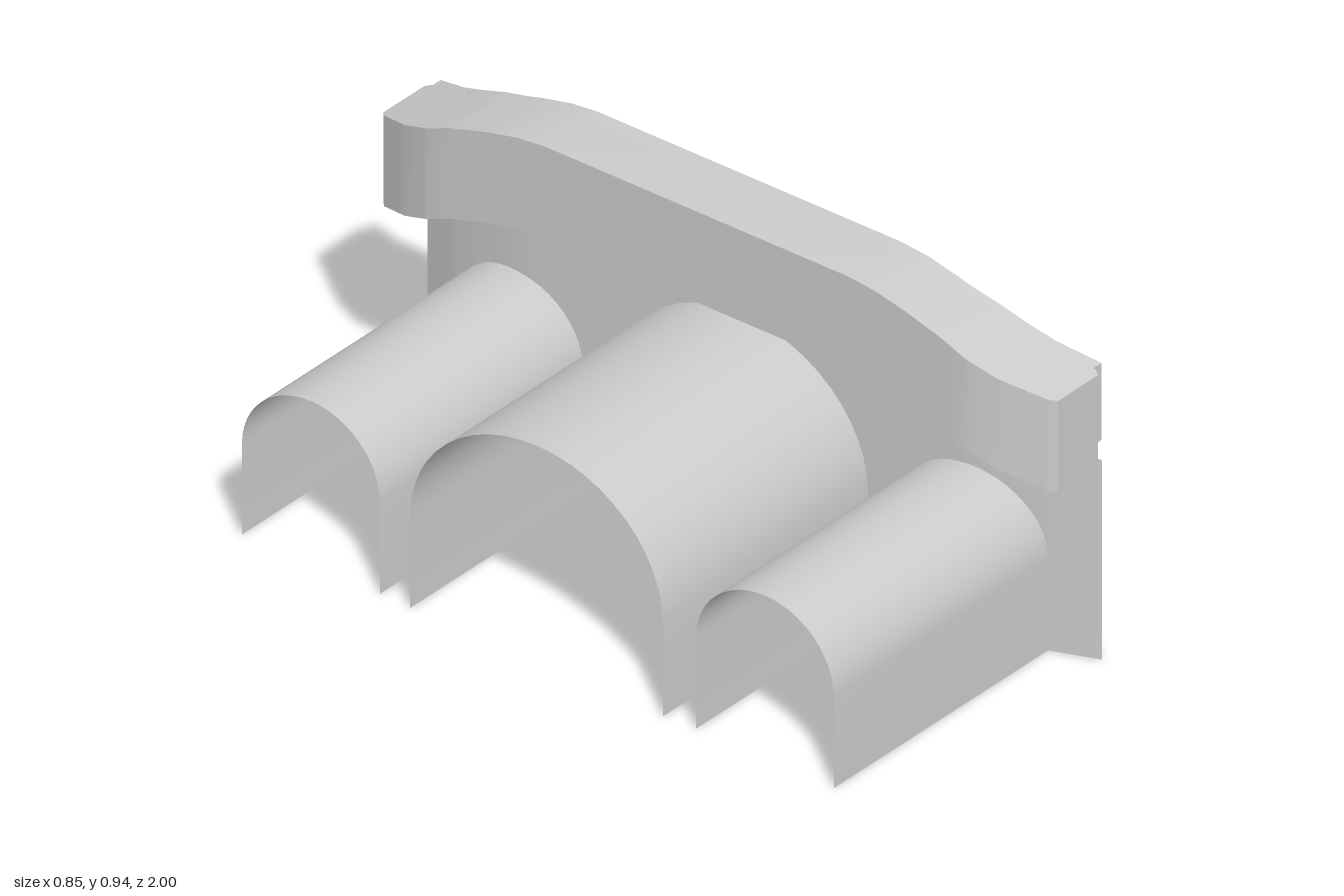
import * as THREE from 'three';
import { toCreasedNormals } from 'three/addons/utils/BufferGeometryUtils.js';

const solid = new THREE.MeshStandardMaterial({ color: 0xcccccc });
const shell = new THREE.MeshStandardMaterial({ color: 0xcccccc, side: THREE.DoubleSide });

// Piecewise linear curve, symmetric in z: [distance from mid-span, value]
const curve = (pts) => (z) => {
  const d = Math.abs(z);
  for (let i = 1; i < pts.length; i++) {
    const [d0, v0] = pts[i - 1], [d1, v1] = pts[i];
    if (d <= d1) return v0 + (v1 - v0) * (d - d0) / (d1 - d0);
  }
  return pts[pts.length - 1][1];
};
const topY = curve([[0, 0.94], [0.45, 0.94], [0.53, 0.932], [0.62, 0.912], [0.73, 0.88], [0.88, 0.82], [1, 0.775]]);
const innerX = curve([[0, 0.15], [0.8, 0.15], [0.88, 0.17], [0.985, 0.222], [1, 0.24]]);
const wallX = curve([[0, 0.315], [0.65, 0.315], [0.72, 0.322], [0.81, 0.337], [0.88, 0.354], [1, 0.4]]);

const RIM = 0.03;        // overhang of the rim beyond the wall
const DEPTH = 0.245;     // height of the parapet
const TOOTH = 0.237, NOTCH = 0.207;
const rimEnd = 0.98;
const keys = [0, 0.45, 0.53, 0.62, 0.65, 0.72, 0.73, 0.8, 0.81, 0.88];
const steps = [0.05, 0.18, 0.315, 0.46, 0.57, 0.65, 0.72, 0.79, 0.88]; // notch and tooth borders

// Surface through rows of [x, y, z] points, optionally capped at both ends
function loft(rows, closed = false) {
  const n = rows[0].length, index = [];
  for (let i = 0; i < rows.length - 1; i++) {
    for (let j = 0; j < (closed ? n : n - 1); j++) {
      const a = i * n + j, b = i * n + (j + 1) % n;
      index.push(a, b, a + n, b, b + n, a + n);
    }
  }
  if (closed) {
    const e = (rows.length - 1) * n;
    for (let j = 0; j < n - 2; j++) {
      index.push(n - 1, j + 1, j, e + n - 1, e + j, e + j + 1);
    }
  }
  const g = new THREE.BufferGeometry();
  g.setAttribute('position', new THREE.Float32BufferAttribute(rows.flat(2), 3));
  g.setIndex(index);
  return toCreasedNormals(g, 0.6);
}

const mirrored = (list) => [...new Set(list.flatMap((z) => [-z, z]))].sort((a, b) => a - b);

// Arch outline in [z, y], from low z to high z, starting at the springing line
function archPoints({ c, w, spring, apex }) {
  const pts = [];
  for (let i = 0; i <= 24; i++) {
    const t = Math.PI * (1 - i / 24);
    pts.push([c + w * Math.cos(t), spring + (apex - spring) * Math.sin(t)]);
  }
  return pts;
}

export function createModel() {
  const group = new THREE.Group();
  const add = (name, geometry, material) => {
    const mesh = new THREE.Mesh(geometry, material);
    mesh.name = name;
    group.add(mesh);
  };

  const side = { w: 0.205, spring: 0.245, apex: 0.44, back: -0.425 };
  const arches = [
    { name: 'rearVault', c: -0.673, ...side },
    { name: 'centralVault', c: 0, w: 0.375, spring: 0.25, apex: 0.585, back: -0.43 },
    { name: 'frontVault', c: 0.673, ...side },
  ];

  // Barrel vaults reaching back from the wall
  for (const arch of arches) {
    const pts = [[arch.c - arch.w, 0], ...archPoints(arch), [arch.c + arch.w, 0]];
    add(arch.name, loft(pts.map(([z, y]) => [[arch.back, y, z], [wallX(z), y, z]])), shell);
  }

  // Thin flared wall: lower edge runs along the ground and over the arches
  const lower = [-1, -0.96, -0.92].map((z) => [z, 0]);
  for (const arch of arches) {
    lower.push([arch.c - arch.w, 0], ...archPoints(arch), [arch.c + arch.w, 0]);
  }
  lower.push(...[0.92, 0.96, 1].map((z) => [z, 0]));
  add('facadeWall', loft(lower.map(([z, y]) => [
    [wallX(z), y, z], [wallX(z), topY(z) - TOOTH, z],
  ])), shell);

  // Parapet body
  const bodyZ = mirrored([...keys, 0.92, 0.96, rimEnd, 0.985, 1]);
  add('parapet', loft(bodyZ.map((z) => {
    const top = topY(z), xi = innerX(z);
    const xo = Math.abs(z) === 1 ? 0.386 : wallX(z);
    return [[xi, top - DEPTH, z], [xo, top - DEPTH, z], [xo, top, z], [xi, top, z]];
  }), true), solid);

  // Overhanging rim, its lower edge alternating teeth and coved notches
  const rimRow = (z, notch) => {
    const x = wallX(z), top = topY(z), row = [];
    for (let i = 0; i <= 5; i++) {
      const t = (i / 5) * Math.PI / 2;
      const rise = notch ? (TOOTH - NOTCH) * Math.sin(t) : 0;
      row.push([x + RIM * (1 - Math.cos(t)), top - TOOTH + rise, z]);
    }
    row.push([x + RIM, top, z], [x, top, z]);
    return row;
  };
  const isNotch = (z) => steps.filter((s) => s < Math.abs(z)).length % 2 === 1;
  const rimZ = mirrored([...keys, ...steps, 0.92, 0.96, rimEnd]);
  const rows = [];
  for (let i = 0; i < rimZ.length - 1; i++) {
    const notch = isNotch((rimZ[i] + rimZ[i + 1]) / 2);
    rows.push(rimRow(rimZ[i], notch), rimRow(rimZ[i + 1], notch));
  }
  add('notchedRim', loft(rows, true), solid);

  return group;
}
